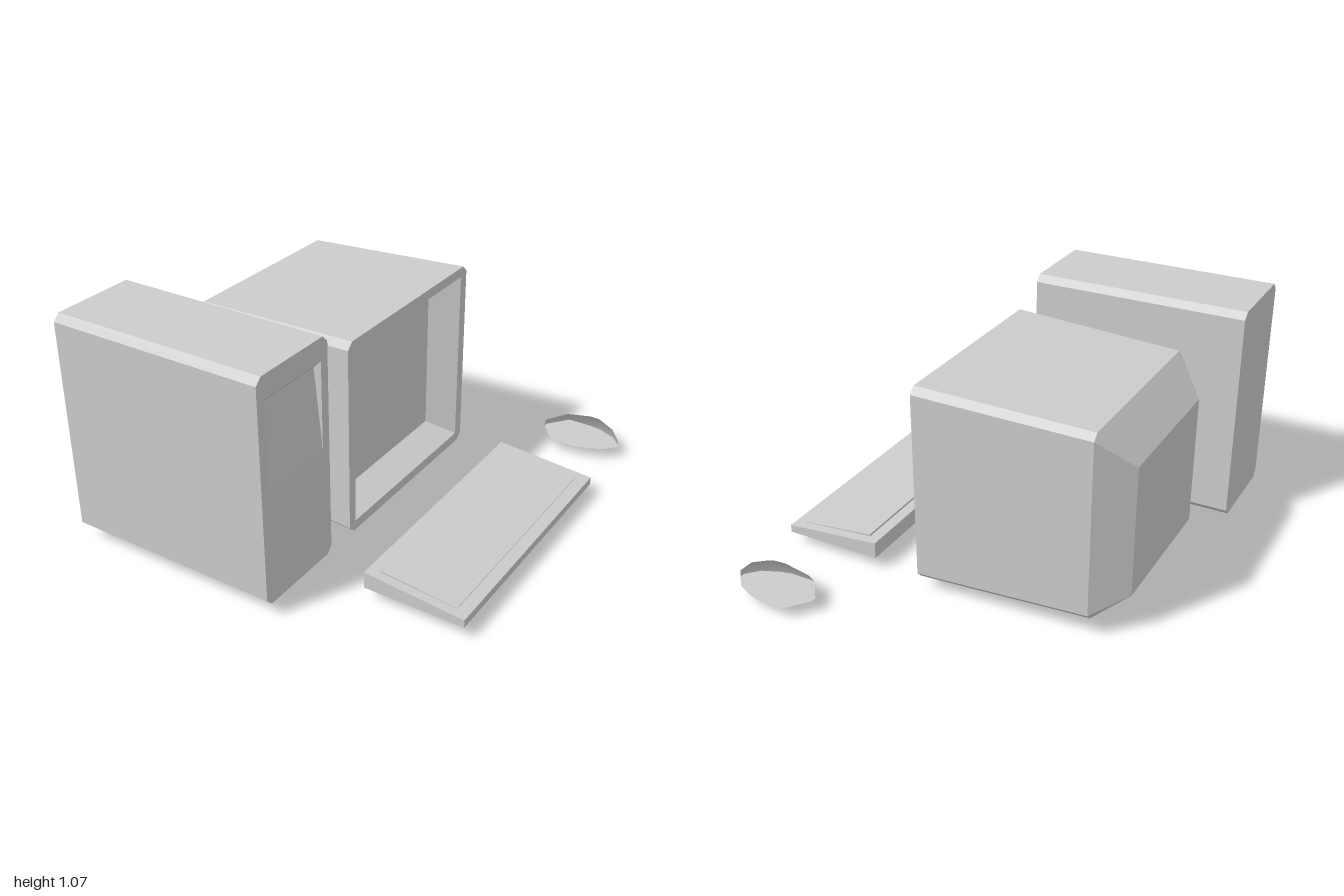
import * as THREE from 'three';
import { toCreasedNormals } from 'three/addons/utils/BufferGeometryUtils.js';

const grey = () => new THREE.MeshStandardMaterial({ color: 0xcccccc });

// Skin a list of equal-length point rings and close both ends with fans.
function loft(rings) {
  const pos = [];
  const tri = (a, b, c) => pos.push(...a, ...b, ...c);
  const n = rings[0].length, last = rings[rings.length - 1];
  for (let r = 0; r < rings.length - 1; r++) {
    const a = rings[r], b = rings[r + 1];
    for (let i = 0; i < n; i++) {
      const j = (i + 1) % n;
      tri(a[i], a[j], b[j]);
      tri(a[i], b[j], b[i]);
    }
  }
  for (let i = 1; i < n - 1; i++) {
    tri(rings[0][0], rings[0][i + 1], rings[0][i]);
    tri(last[0], last[i], last[i + 1]);
  }
  const g = new THREE.BufferGeometry();
  g.setAttribute('position', new THREE.Float32BufferAttribute(pos, 3));
  g.computeVertexNormals();
  return g;
}

// Chamfered rectangle across x; x may be a number or a function of y.
function ring(x, y0, y1, z0, z1, c = 0) {
  const at = typeof x === 'function' ? x : () => x;
  return [
    [y1, z1 - c], [y1 - c, z1], [y0 + c, z1], [y0, z1 - c],
    [y0, z0 + c], [y0 + c, z0], [y1 - c, z0], [y1, z0 + c],
  ].map(([y, z]) => [at(y), y, z]);
}

// Rectangle seen from above, with height given by a function of x.
function slab(x0, x1, z0, z1, y) {
  return [[x0, z1], [x1, z1], [x1, z0], [x0, z0]].map(([x, z]) => [x, y(x), z]);
}

export function createModel() {
  const model = new THREE.Group();
  const add = (name, geometry) => {
    const mesh = new THREE.Mesh(geometry, grey());
    mesh.name = name;
    model.add(mesh);
  };

  // Tower case with a wedge-shaped drive recess in its +x face
  const slope = (y) => 0.145 - 0.035 * (y - 0.57) / 0.365;
  add('towerCase', loft([
    ring(-0.855, 0.055, 1.07, 0.555, 1, 0.03),
    ring(0.145, 0.055, 1.07, 0.555, 1, 0.03),
    ring(0.145, 0.57, 0.97, 0.6, 0.955),
    ring(slope, 0.571, 0.935, 0.6, 0.955),
  ]));

  // Monitor: tapered shell, then bezel rim, sunken walls and screen
  add('monitor', loft([
    ring(-0.775, 0.18, 0.775, -0.4, 0.26, 0.003),
    ring(-0.64, 0.085, 0.935, -0.525, 0.38, 0.028),
    ring(0.145, 0.055, 0.965, -0.555, 0.415, 0.03),
    ring(0.145, 0.1, 0.92, -0.505, 0.37),
    ring(0.01, 0.153, 0.86, -0.45, 0.32),
  ]));

  // Low foot following the slope of the monitor's underside
  const under = (x) => -0.036 * (x - 0.035);
  add('monitorFoot', loft([
    slab(-0.53, 0.035, -0.41, 0.275, under),
    slab(-0.55, 0.055, -0.43, 0.295, (x) => under(x) + 0.065),
  ]));

  // Wedge keyboard with a thin raised key panel
  const deck = (x) => 0.131 - 0.087 * (x - 0.395);
  add('keyboardBody', loft([
    slab(0.395, 0.855, -0.505, 0.69, () => 0.055),
    slab(0.395, 0.855, -0.505, 0.69, deck),
  ]));
  add('keyPanel', loft([
    slab(0.45, 0.8, -0.46, 0.65, (x) => deck(x) - 0.005),
    slab(0.45, 0.8, -0.46, 0.65, (x) => deck(x) + 0.01 - 0.02 * (x - 0.45)),
  ]));

  // Mouse: smooth half-dome sections [x, half width, height]
  const sections = [
    [0.45, 0.012, 0.03], [0.53, 0.112, 0.068], [0.65, 0.112, 0.1],
    [0.70, 0.1, 0.105], [0.78, 0.066, 0.075], [0.83, 0.012, 0.03],
  ];
  const arch = [[1, 0], [0.72, 0], [-0.72, 0], [-1, 0], [-0.7, 0.72], [-0.25, 0.98], [0.25, 0.98], [0.7, 0.72]];
  const dome = loft(sections.map(([x, w, h]) =>
    arch.map(([u, v]) => [x, 0.055 + v * h, -0.887 - u * w]).map((p) => p)));
  add('mouse', toCreasedNormals(dome, 0.95));

  return model;
}
